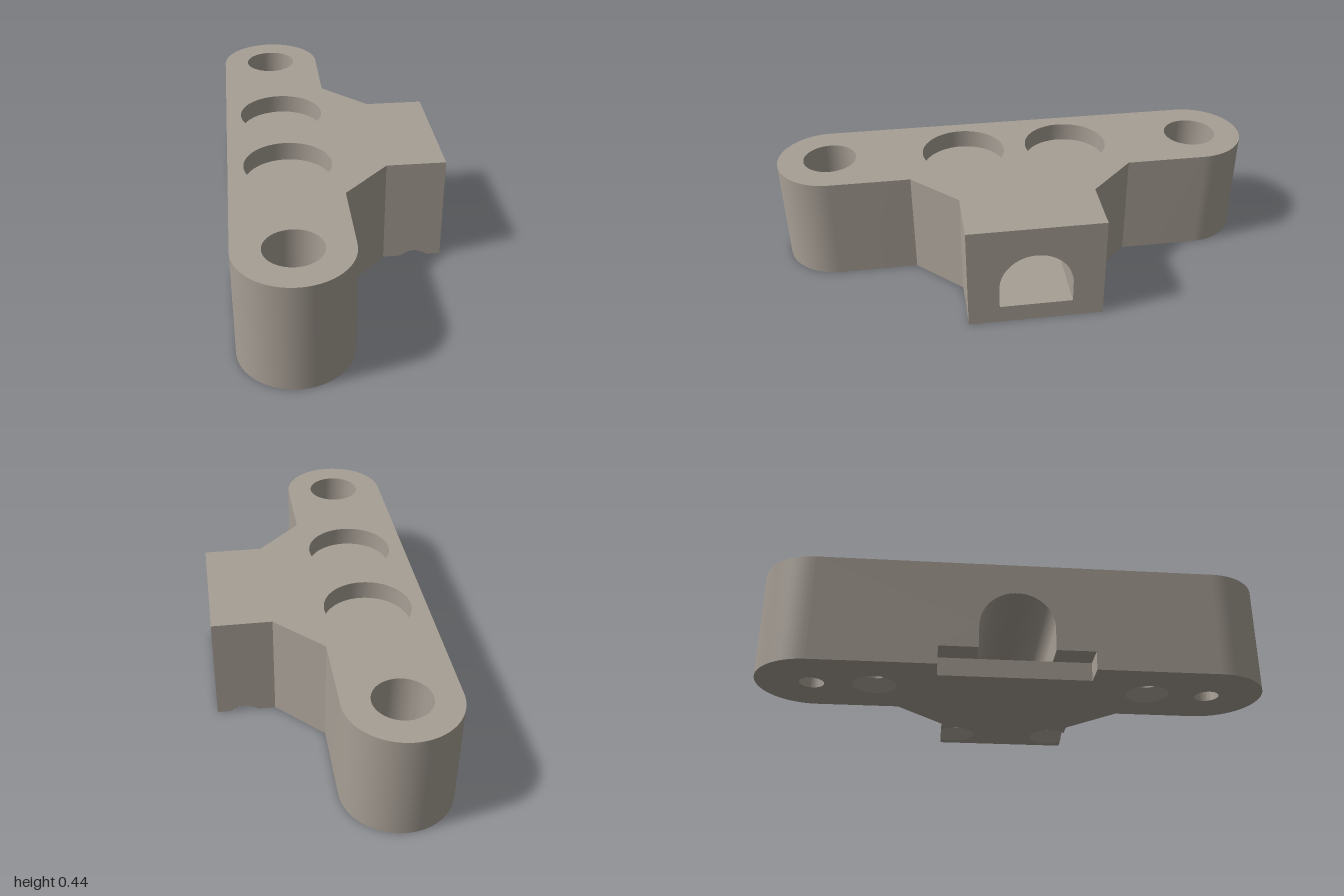
import * as THREE from 'three';
import { toCreasedNormals } from 'three/addons/utils/BufferGeometryUtils.js';

const H = 0.437, PLATE = 0.075;                   // block height, base plate thickness
const CX = -0.2095, CZ = 0.7825, ENDR = 0.2175;   // rounded ends of the long bar
const SNOUT = 0.272, XMAX = 0.427;
const ARCH = 0.147, ARCHY = 0.166;                // tunnel half width, arch centre height
const SINK = 0.085, PILOT = 0.04, SINKX = 0.316, SINKZ = 0.21;
const WALLD = SNOUT - SINKZ;                      // countersink axis to snout side
const NOTCHX = -0.322, NOTCHZ = 0.3;

const material = new THREE.MeshStandardMaterial({ color: 0xa79f95, side: THREE.DoubleSide });

// Plan points are [x, s] with z = -s
const arc = (x, s, r, a0, a1, n = 48) => Array.from({ length: n + 1 }, (_, i) => {
  const a = a0 + (a1 - a0) * i / n;
  return [x + r * Math.cos(a), s + r * Math.sin(a)];
});
const circle = (x, s, r) => arc(x, s, r, 2 * Math.PI, 0, 64);
const flip = pts => pts.map(([x, s]) => [x, -s]).reverse();
const toShape = (pts, holes = []) => {
  const shape = new THREE.Shape(pts.map(p => new THREE.Vector2(...p)));
  shape.holes = holes.map(h => new THREE.Path(h.map(p => new THREE.Vector2(...p))));
  return shape;
};

export function createModel() {
  const group = new THREE.Group();

  const add = (name, geometry) => {
    const mesh = new THREE.Mesh(geometry, material);
    mesh.name = name;
    group.add(mesh);
  };
  // Ribbon between two rows of 3D points
  const loft = (name, a, b) => {
    const pos = [];
    for (let i = 0; i < a.length - 1; i++) {
      pos.push(...a[i], ...a[i + 1], ...b[i + 1], ...a[i], ...b[i + 1], ...b[i]);
    }
    const g = new THREE.BufferGeometry();
    g.setAttribute('position', new THREE.Float32BufferAttribute(pos, 3));
    add(name, toCreasedNormals(g, 0.5));
  };
  const at = (pts, y) => pts.map(([x, s]) => [x, y, -s]);
  const wall = (name, pts, y0, y1) => loft(name, at(pts, y0), at(pts, y1));
  // Flat face at height y, facing up or down
  const cap = (name, pts, holes, y, up) => {
    const g = new THREE.ShapeGeometry(toShape(pts, holes));
    g.rotateX(up ? -Math.PI / 2 : Math.PI / 2);
    add(name, g.translate(0, y, 0));
  };
  const side = (name, shape, turn, x, z) =>
    add(name, new THREE.ShapeGeometry(shape).rotateY(turn).translate(x, 0, z));

  // Plan outline, one half and its mirror
  const half = [[0.19, SNOUT], [CX + ENDR, 0.455], ...arc(CX, CZ, ENDR, 0, Math.PI)];
  const other = flip(half);
  wall('barWall', half, 0, H);
  wall('barWall', other, 0, H);

  // Top face with bores
  const bores = [], sinks = [];
  for (const m of [1, -1]) {
    bores.push(circle(CX, m * CZ, 0.11), circle(-0.192, m * 0.22, 0.173));
    sinks.push(circle(CX, m * CZ, 0.048), circle(CX, m * 0.54, SINK));
  }
  cap('topFace', [[XMAX, -SNOUT], [XMAX, SNOUT], ...half, ...other], bores, H, true);

  // Underside with rear notch and countersinks that break the snout sides
  const a0 = Math.asin(WALLD / SINK);
  const bite = arc(SINKX, SINKZ, SINK, a0, -Math.PI - a0);
  const notch = [[-XMAX, NOTCHZ], [NOTCHX, NOTCHZ], [NOTCHX, -NOTCHZ], [-XMAX, -NOTCHZ]];
  cap('underside', [...flip(bite), [XMAX, -SNOUT], [XMAX, SNOUT], ...bite,
    ...half, ...notch, ...other], sinks, 0, false);
  wall('notchWall', notch, 0, PLATE);

  // Snout front and bar back, both pierced by the arched tunnel
  const arch = [[-ARCH, PLATE], ...arc(0, ARCHY, ARCH, Math.PI, 0), [ARCH, PLATE]];
  side('snoutEnd', toShape([[-SNOUT, 0], [SNOUT, 0], [SNOUT, H], [-SNOUT, H]], [arch]),
    Math.PI / 2, XMAX, 0);
  side('barBack', toShape([[-CZ, 0], [-NOTCHZ, 0], [-NOTCHZ, PLATE], ...arch,
    [NOTCHZ, PLATE], [NOTCHZ, 0], [CZ, 0], [CZ, H], [-CZ, H]]), -Math.PI / 2, -XMAX, 0);
  const along = (pts, x) => pts.map(([s, y]) => [x, y, -s]);
  loft('tunnelArch', along(arch, -XMAX), along(arch, XMAX));
  const floor = [[ARCH, PLATE], [-ARCH, PLATE]];
  loft('tunnelFloor', along(floor, NOTCHX), along(floor, XMAX));

  for (const m of [1, -1]) {
    // Body underside exposed above the notch
    const [s0, s1] = m > 0 ? [ARCH, NOTCHZ] : [-NOTCHZ, -ARCH];
    cap('notchCeiling', [[-XMAX, s0], [NOTCHX, s0], [NOTCHX, s1], [-XMAX, s1]], [], PLATE, false);

    // Snout side with the curved countersink cut at its lower edge
    const cut = SINK * Math.cos(a0), u0 = m * SINKX;
    const lip = Array.from({ length: 17 }, (_, i) => {
      const d = cut * (i / 8 - 1);
      return [u0 + d, SINK - Math.hypot(WALLD, d)];
    });
    const [ua, ub] = m > 0 ? [0.19, XMAX] : [-XMAX, -0.19];
    side('snoutSide', toShape([[ua, 0], ...lip, [ub, 0], [ub, H], [ua, H]]),
      m > 0 ? 0 : Math.PI, 0, m * SNOUT);

    // Mounting holes with counterbores
    const bore = circle(CX, m * CZ, 0.11), bolt = circle(CX, m * CZ, 0.048);
    wall('counterbore', bore, 0.2, H);
    cap('counterboreFloor', bore, [bolt], 0.2, true);
    wall('boltHole', bolt, 0, 0.2);

    // Shallow round pockets
    const pocket = circle(-0.192, m * 0.22, 0.173);
    wall('pocketWall', pocket, 0.36, H);
    cap('pocketFloor', pocket, [], 0.36, true);

    // Countersunk screw holes from below
    for (const [x, s, limit] of [[CX, 0.54, 1], [SINKX, SINKZ, WALLD]]) {
      const rim = circle(0, 0, 1).map(([c, d]) => {
        const r = Math.min(SINK, limit / Math.max(m * d, 0.01));
        return [x + r * c, SINK - r, -(m * s + r * d)];
      });
      const pilot = circle(x, m * s, PILOT);
      loft('countersink', rim, at(pilot, SINK - PILOT));
      wall('screwHole', pilot, SINK - PILOT, 0.3);
      cap('screwHoleEnd', pilot, [], 0.3, false);
    }
  }
  return group;
}
